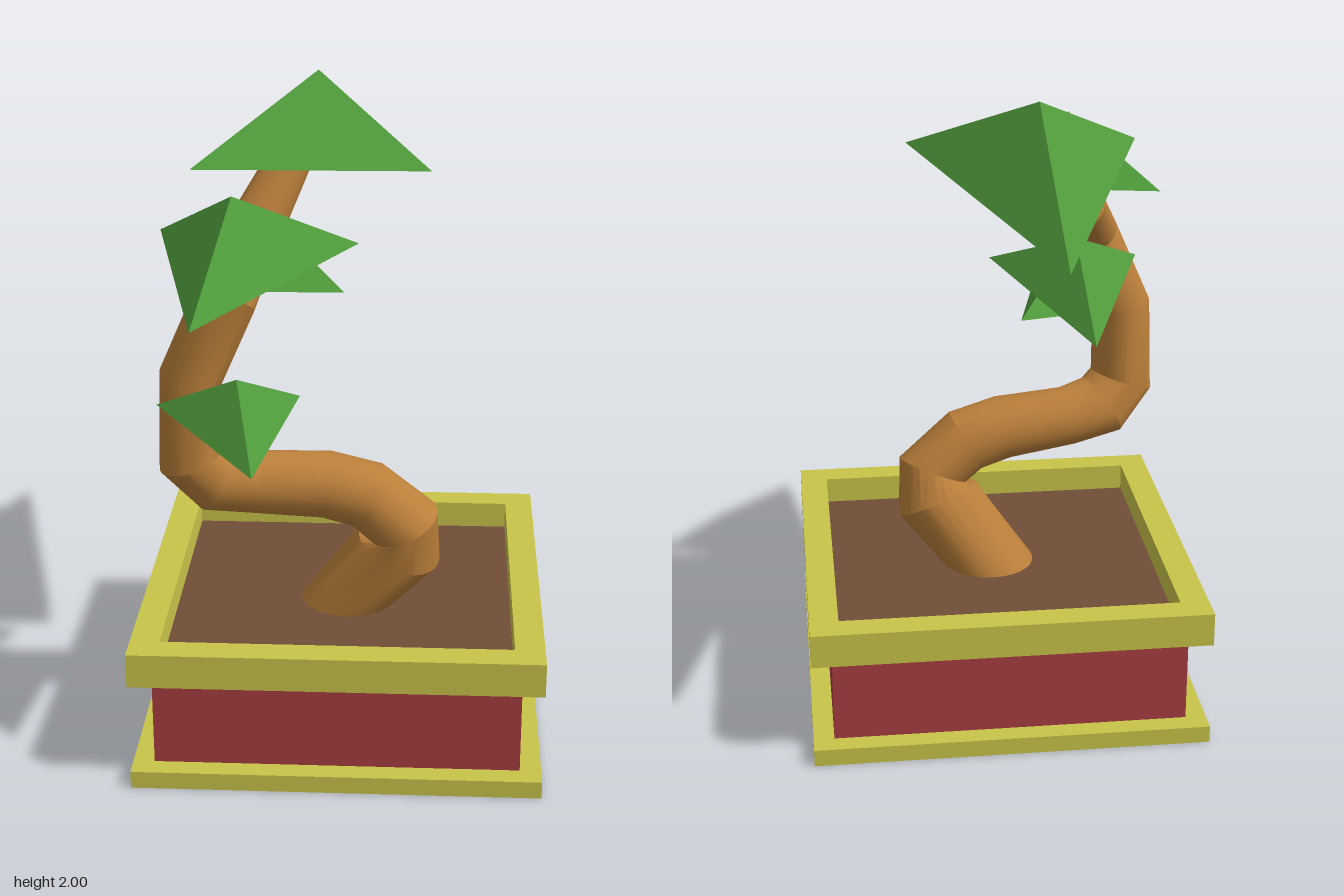
import * as THREE from 'three';
import { toCreasedNormals } from 'three/addons/utils/BufferGeometryUtils.js';

const POT_Z = 0.1;
const mat = (color) => new THREE.MeshStandardMaterial({ color });
const yellow = mat(0xc8c44a), red = mat(0xa83e40), brown = mat(0x714e38);
const bark = mat(0xba7f3a), green = mat(0x4f9a3a);
green.flatShading = true;

function add(group, name, geometry, material) {
  const mesh = new THREE.Mesh(geometry, material);
  mesh.name = name;
  group.add(mesh);
  return mesh;
}

// Square slab of the pot between two heights
function slab(group, name, half, y0, y1, material) {
  const mesh = add(group, name, new THREE.BoxGeometry(half * 2, y1 - y0, half * 2), material);
  mesh.position.set(0, (y0 + y1) / 2, POT_Z);
}

function square(half, Type) {
  return new Type([[-1, -1], [1, -1], [1, 1], [-1, 1]].map(([x, y]) => new THREE.Vector2(x * half, y * half)));
}

// Round tube through [x, y, z, radius] sections, with mitred bends
function limb(sections, sides = 28) {
  const points = sections.map(([x, y, z]) => new THREE.Vector3(x, y, z));
  const dirs = points.slice(1).map((p, i) => p.clone().sub(points[i]).normalize());
  const positions = [], index = [];
  const normal = new THREE.Vector3(0, 1, 0);
  const u = new THREE.Vector3(1, 0, 0);
  const last = points.length - 1;

  points.forEach((p, i) => {
    const next = i === 0 ? new THREE.Vector3(0, 1, 0)
      : i === last ? dirs[i - 1].clone()
        : dirs[i - 1].clone().add(dirs[i]).normalize();
    // Carry the ring's axes along the path so it does not twist
    u.applyQuaternion(new THREE.Quaternion().setFromUnitVectors(normal, next));
    normal.copy(next);
    const v = normal.clone().cross(u);
    for (let s = 0; s < sides; s++) {
      const a = (s / sides) * Math.PI * 2;
      const q = p.clone().addScaledVector(u, Math.cos(a) * sections[i][3]).addScaledVector(v, Math.sin(a) * sections[i][3]);
      positions.push(q.x, q.y, q.z);
      if (i < last) {
        const t = (s + 1) % sides, a0 = i * sides + s, b0 = i * sides + t;
        index.push(a0, b0, b0 + sides, a0, b0 + sides, a0 + sides);
      }
    }
  });

  // Cap the top end
  const tip = points[last];
  positions.push(tip.x, tip.y, tip.z);
  for (let s = 0; s < sides; s++) {
    index.push(last * sides + s, last * sides + (s + 1) % sides, points.length * sides);
  }
  const geometry = new THREE.BufferGeometry();
  geometry.setAttribute('position', new THREE.Float32BufferAttribute(positions, 3));
  geometry.setIndex(index);
  return toCreasedNormals(geometry, 0.33);
}

// Four-faced leaf pad: apex, two side corners and a long drooping tip
function leafPad(corners) {
  const [apex, a, b, c] = corners.map((p) => new THREE.Vector3(...p));
  const faces = [[apex, a, b], [apex, b, c], [apex, c, a], [a, c, b]];
  const centre = apex.clone().add(a).add(b).add(c).multiplyScalar(0.25);
  const points = faces.flatMap(([p, q, r]) => {
    const n = q.clone().sub(p).cross(r.clone().sub(p));
    return n.dot(p.clone().sub(centre)) > 0 ? [p, q, r] : [p, r, q];
  });
  const geometry = new THREE.BufferGeometry().setFromPoints(points);
  geometry.computeVertexNormals();
  return geometry;
}

export function createModel() {
  const model = new THREE.Group();
  model.name = 'bonsaiTree';

  // Pot
  const pot = new THREE.Group();
  pot.name = 'pot';
  model.add(pot);
  slab(pot, 'potFoot', 0.62, 0, 0.055, yellow);
  slab(pot, 'potBody', 0.555, 0.055, 0.345, red);
  slab(pot, 'soil', 0.53, 0.3, 0.365, brown);
  const rimShape = square(0.62, THREE.Shape);
  rimShape.holes.push(square(0.53, THREE.Path));
  const rim = add(pot, 'potRim', new THREE.ExtrudeGeometry(rimShape, { depth: 0.107, bevelEnabled: false }), yellow);
  rim.rotation.x = -Math.PI / 2;
  rim.position.set(0, 0.345, POT_Z);

  // Winding trunk
  add(model, 'trunk', limb([
    [0, 0.35, 0.12, 0.15],
    [0.175, 0.575, 0.17, 0.138],
    [0.185, 0.665, 0.2, 0.118],
    [0.075, 0.76, 0.21, 0.108],
    [-0.05, 0.797, 0.22, 0.105],
    [-0.27, 0.815, 0.25, 0.098],
    [-0.39, 0.84, 0.28, 0.108],
    [-0.46, 0.92, 0.31, 0.105],
    [-0.455, 1.18, 0.31, 0.096],
    [-0.345, 1.43, 0.315, 0.094],
    [-0.27, 1.59, 0.07, 0.084],
    [-0.165, 1.79, -0.01, 0.066],
  ]), bark);

  // Leaf pads
  const pads = {
    topLeaves: [[-0.1, 2, -0.25], [-0.46, 1.78, 0.165], [0.26, 1.785, 0.17], [-0.1, 1.68, -0.875]],
    frontLeaves: [[-0.3, 1.79, 0.5], [-0.55, 1.6, 0.18], [0.05, 1.6, 0.3], [-0.38, 1.515, 0.88]],
    backLeaves: [[-0.235, 1.545, -0.11], [-0.47, 1.4, 0.16], [0, 1.405, 0.165], [-0.235, 1.34, -0.515]],
    lowLeaves: [[-0.29, 1.265, 0.56], [-0.545, 1.13, 0.42], [-0.125, 1.13, 0.325], [-0.225, 1.07, 0.825]],
  };
  for (const [name, corners] of Object.entries(pads)) add(model, name, leafPad(corners), green);

  return model;
}
